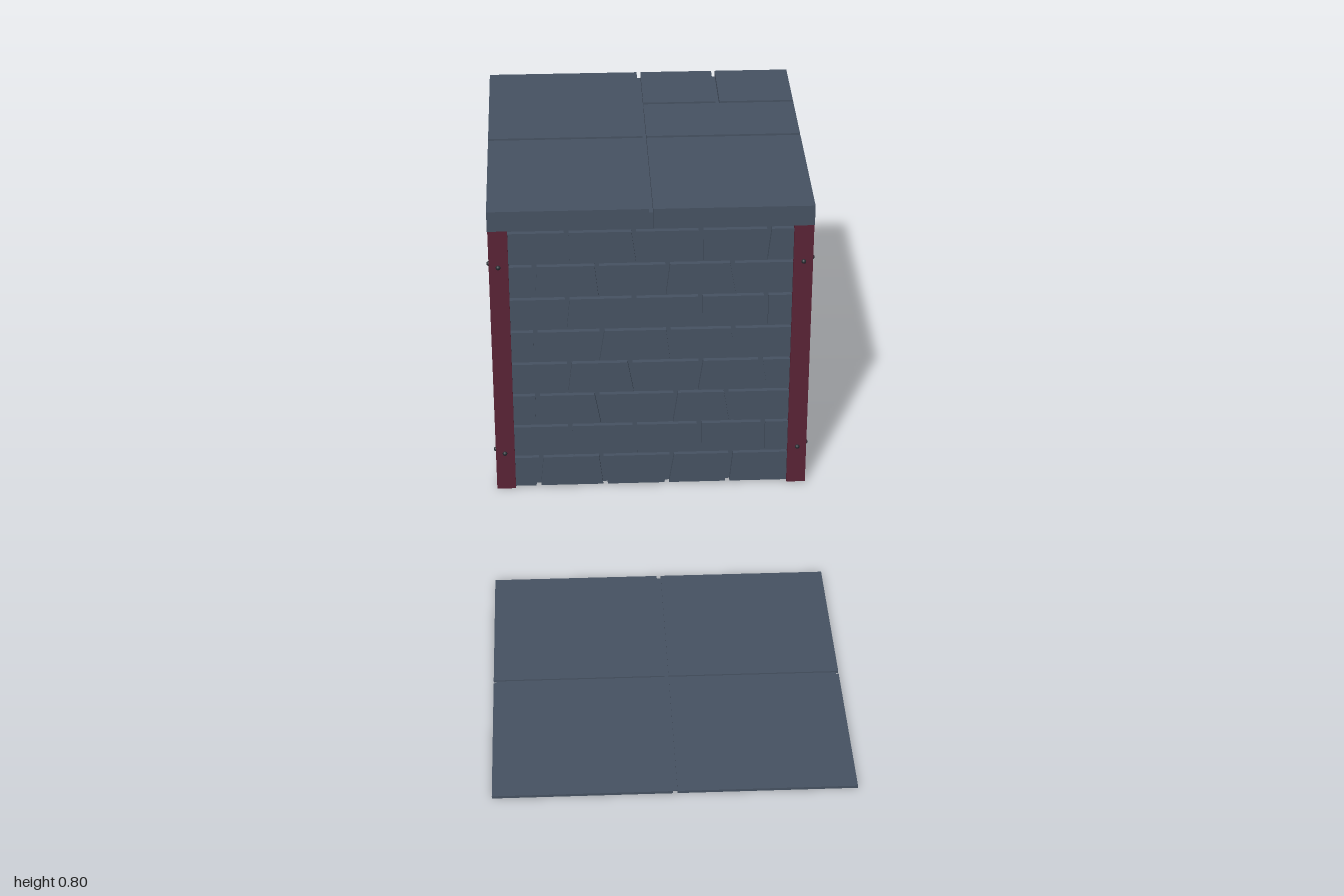
import * as THREE from 'three';

const mat = (name, color) => {
  const m = new THREE.MeshStandardMaterial({ color });
  m.name = name;
  return m;
};

// Courses from the ground up: joints between bricks as [bottom, top] positions.
const COURSES = [
  [[-0.29, -0.282], [-0.118, -0.128], [0.04, 0.053], [0.196, 0.204]],
  [[-0.206, -0.206], [-0.042, -0.042], [0.122, 0.122], [0.285, 0.285]],
  [[-0.287, -0.287], [-0.122, -0.137], [0.05, 0.062], [0.204, 0.19]],
  [[-0.215, -0.205], [-0.038, -0.053], [0.113, 0.125], [0.287, 0.275]],
  [[-0.288, -0.288], [-0.135, -0.122], [0.053, 0.043], [0.217, 0.205]],
  [[-0.215, -0.207], [-0.042, -0.042], [0.122, 0.122], [0.285, 0.285]],
  [[-0.291, -0.286], [-0.124, -0.133], [0.031, 0.041], [0.215, 0.2]],
  [[-0.206, -0.206], [-0.031, -0.042], [0.122, 0.122], [0.28, 0.289]],
];
const PITCH = 0.0925, JOINT = 0.0075, BASE = 0.005, HALF = 0.35;

// Four corners of one brick
function brickCorners(row, i) {
  const joints = [[-HALF, -HALF], ...COURSES[row], [HALF, HALF]];
  const a = joints[i], b = joints[i + 1];
  const g0 = i === 0 ? 0 : 0.006, g1 = i === joints.length - 2 ? 0 : 0.006;
  const y0 = BASE + row * PITCH, y1 = y0 + PITCH - JOINT;
  return [[a[0] + g0, y0], [b[0] - g1, y0], [b[1] - g1, y1], [a[1] + g0, y1]]
    .map(([x, y]) => new THREE.Vector2(x, y));
}

function extrude(shape, z0, z1) {
  const g = new THREE.ExtrudeGeometry(shape, { depth: z1 - z0, bevelEnabled: false });
  return g.translate(0, 0, z0);
}

export function createModel() {
  const stone = mat('slate stone', 0x465262);
  const red = mat('dark red metal', 0x5a2335);
  const brown = mat('dark brown backing', 0x3b3539);
  const iron = mat('dark iron', 0x252b31);

  const model = new THREE.Group();
  model.name = 'brickBlockAndFloor';

  const add = (parent, name, geometry, material) => {
    const m = new THREE.Mesh(geometry, material);
    m.name = name;
    parent.add(m);
    return m;
  };
  const slab = (parent, name, x0, x1, y0, y1, z0, z1, material = stone) =>
    add(parent, name, new THREE.BoxGeometry(x1 - x0, y1 - y0, z1 - z0), material)
      .position.set((x0 + x1) / 2, (y0 + y1) / 2, (z0 + z1) / 2);

  // Brick block, centred on its own axis
  const block = new THREE.Group();
  block.name = 'brickBlock';
  block.position.z = -0.6;
  model.add(block);

  // A wall faces +z before turning; missing lists [course, brick] pairs left out
  function wall(name, angle, missing) {
    const w = new THREE.Group();
    w.name = name;
    w.rotation.y = angle;
    block.add(w);
    const mortar = new THREE.Shape([[-HALF, BASE], [HALF, BASE], [HALF, 0.75], [-HALF, 0.75]]
      .map(([x, y]) => new THREE.Vector2(x, y)));
    COURSES.forEach((joints, row) => {
      for (let i = 0; i <= joints.length; i++) {
        const corners = brickCorners(row, i);
        if (missing.some(([r, b]) => r === row && b === i)) {
          mortar.holes.push(new THREE.Path(corners));
          add(w, 'holeBacking', extrude(new THREE.Shape(corners), 0.345, 0.352), brown);
        } else {
          add(w, 'brick', extrude(new THREE.Shape(corners), 0.345, 0.389), stone);
        }
      }
    });
    add(w, 'mortar', extrude(mortar, 0.356, 0.376), stone);
  }
  wall('frontWall', 0, []);
  wall('leftWall', Math.PI / 2, [[2, 1], [5, 3], [6, 1]]);
  wall('backWall', Math.PI, []);
  wall('rightWall', -Math.PI / 2, [[5, 3]]);

  // Corner posts with rivets on both outer faces
  const rivet = new THREE.SphereGeometry(0.006, 10, 8);
  for (const sx of [-1, 1]) for (const sz of [-1, 1]) {
    const post = new THREE.Group();
    post.name = 'cornerPost';
    block.add(post);
    add(post, 'post', new THREE.BoxGeometry(0.048, 0.747, 0.048), red)
      .position.set(sx * 0.373, 0.3765, sz * 0.373);
    for (const y of [0.11, 0.65]) {
      add(post, 'rivet', rivet, iron).position.set(sx * 0.374, y, sz * 0.397);
      add(post, 'rivet', rivet, iron).position.set(sx * 0.397, y, sz * 0.374);
    }
  }

  // Roof: slabs with narrow seams over a slightly inset core
  const roof = new THREE.Group();
  roof.name = 'roof';
  block.add(roof);
  const E = 0.398, g = 0.005;
  slab(roof, 'roofCore', -0.39, 0.39, 0.752, 0.79, -0.39, 0.39);
  for (const [x0, x1, z0, z1] of [
    [-E, -g, g, E], [g, E, g, E], [-E, -g, -E, -g],
    [g, E, -0.195, -g], [g, 0.195, -E, -0.205], [0.205, E, -E, -0.205],
  ]) slab(roof, 'roofSlab', x0, x1, 0.75, 0.803, z0, z1);

  // Separate floor panel: four thin tiles on a thinner sheet
  const floor = new THREE.Group();
  floor.name = 'floorPanel';
  floor.position.z = 0.6;
  model.add(floor);
  slab(floor, 'floorSheet', -0.392, 0.392, 0.001, 0.003, -0.392, 0.392);
  for (const sx of [-1, 1]) for (const sz of [-1, 1]) {
    add(floor, 'floorTile', new THREE.BoxGeometry(0.393, 0.006, 0.393), stone)
      .position.set(sx * 0.2015, 0.003, sz * 0.2015);
  }
  return model;
}
